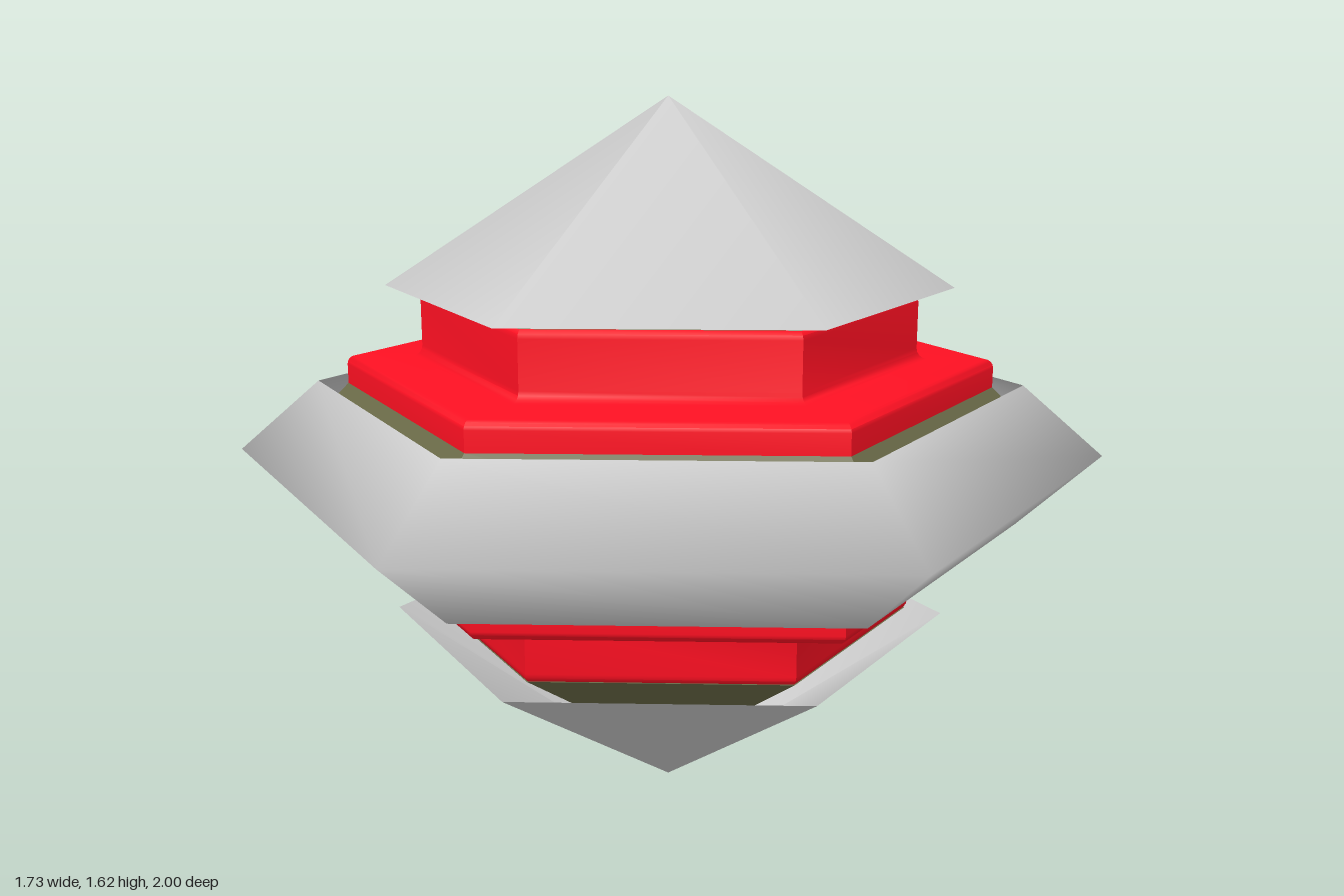
import * as THREE from 'three';
import { toCreasedNormals } from 'three/addons/utils/BufferGeometryUtils.js';

const MID = 0.81; // height of the mirror plane

const grey = new THREE.MeshStandardMaterial({ color: 0xcccccc, side: THREE.DoubleSide });
const red = new THREE.MeshStandardMaterial({ color: 0xff1022 });
const olive = new THREE.MeshStandardMaterial({ color: 0x6b6b48 });

// Six-sided lathe with corners on +z and -z; points are [radius, height above the mirror plane]
function hexLathe(name, points, material, crease) {
  const profile = points.map(([r, y]) => new THREE.Vector2(r, MID + y));
  let geometry = new THREE.LatheGeometry(profile, 6);
  if (crease) geometry = toCreasedNormals(geometry, crease);
  const mesh = new THREE.Mesh(geometry, material);
  mesh.name = name;
  return mesh;
}

// Same profile turned upside down, order reversed so faces stay outward
const flip = (points) => points.map(([r, y]) => [r, -y]).reverse();

// Quarter round from angle a0 to a1 (degrees)
function arc(cx, cy, radius, a0, a1, steps = 4) {
  return Array.from({ length: steps + 1 }, (_, i) => {
    const a = THREE.MathUtils.degToRad(a0 + ((a1 - a0) * i) / steps);
    return [cx + radius * Math.cos(a), cy + radius * Math.sin(a)];
  });
}

export function createModel() {
  const group = new THREE.Group();
  group.name = 'hexagonalSpindle';

  // Open outer ring
  group.add(hexLathe('outerRing', [[0.81, -0.165], [1, 0], [0.81, 0.165]], grey));

  // Open pointed caps
  const cap = [[0.645, 0.388], [0, 0.81]];
  group.add(hexLathe('topCap', cap, grey));
  group.add(hexLathe('bottomCap', flip(cap), grey));

  // Stepped collars with rounded edges
  const collar = [
    [0.74, 0.15],
    ...arc(0.72, 0.205, 0.02, 0, 90),
    ...arc(0.59, 0.25, 0.025, -90, -180),
    ...arc(0.54, 0.355, 0.025, 0, 90),
    [0.45, 0.38],
  ];
  group.add(hexLathe('topCollar', collar, red, 0.9));
  group.add(hexLathe('bottomCollar', flip(collar), red, 0.9));

  // Inner core filling the ring and caps with a small gap
  const coreHalf = [[0.9, 0], [0.74, 0.16], [0.5, 0.2], [0.5, 0.374], [0.56, 0.374], [0, 0.745]];
  group.add(hexLathe('innerCore', [...flip(coreHalf).slice(0, -1), ...coreHalf], olive, 0.5));

  return group;
}
